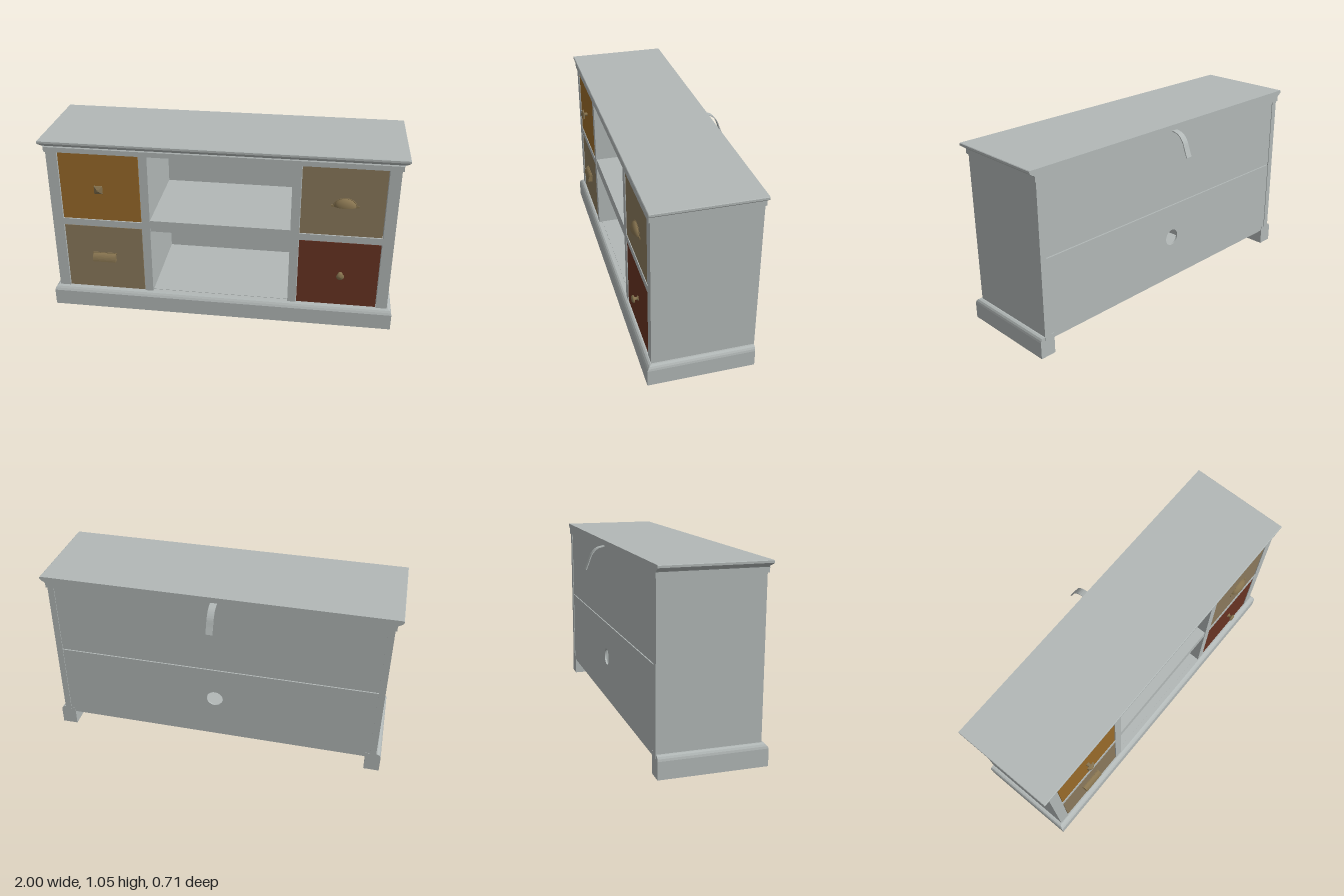
import * as THREE from 'three';

export function createModel() {
  const root = new THREE.Group();
  root.name = 'mediaCabinet';
  const mat = (name, color, side = THREE.FrontSide) => {
    const m = new THREE.MeshStandardMaterial({ color, side });
    m.name = name;
    return m;
  };
  const paint = mat('greyPaint', 0xb2b8b7);
  const orange = mat('ochrePaint', 0x986a29);
  const tan = mat('tanPaint', 0x8a795c);
  const red = mat('brickRedPaint', 0x683322);
  const metal = mat('agedBrass', 0x86734f, THREE.DoubleSide);

  const add = (name, geo, material = paint, parent = root) => {
    const m = new THREE.Mesh(geo, material);
    m.name = name;
    parent.add(m);
    return m;
  };
  // Box given by its minimum and maximum on each axis
  const box = (name, x0, x1, y0, y1, z0, z1, material = paint, parent = root) => {
    const g = new THREE.BoxGeometry(x1 - x0, y1 - y0, z1 - z0);
    g.translate((x0 + x1) / 2, (y0 + y1) / 2, (z0 + z1) / 2);
    return add(name, g, material, parent);
  };
  // Extrudes a [z, y] outline along x, centred on x = 0
  const extrudeX = (pts, width) => {
    const s = new THREE.Shape(pts.map(([z, y]) => new THREE.Vector2(z, y)));
    const g = new THREE.ExtrudeGeometry(s, { depth: width, bevelEnabled: false });
    return g.rotateY(-Math.PI / 2).translate(width / 2, 0, 0);
  };
  // Mitred moulding round the two sides and front; profile = [halfWidth, zFront, y]
  const moulding = (profile, zBack) => {
    const stations = [
      profile.map(([x, , y]) => [x, y, zBack]),
      profile.map(([x, z, y]) => [x, y, z]),
      profile.map(([x, z, y]) => [-x, y, z]),
      profile.map(([x, , y]) => [-x, y, zBack]),
    ];
    const pos = [];
    const tri = (a, b, c) => pos.push(...a, ...b, ...c);
    const n = profile.length;
    for (let i = 0; i < 3; i++) {
      for (let j = 0; j < n; j++) {
        const k = (j + 1) % n;
        const [a, b, c, d] = [stations[i][j], stations[i][k], stations[i + 1][k], stations[i + 1][j]];
        tri(a, b, c);
        tri(a, c, d);
      }
    }
    const outline = profile.map(([x, , y]) => new THREE.Vector2(x, y));
    for (const [a, b, c] of THREE.ShapeUtils.triangulateShape(outline, [])) {
      tri(stations[0][a], stations[0][c], stations[0][b]);
      tri(stations[3][a], stations[3][b], stations[3][c]);
    }
    const g = new THREE.BufferGeometry();
    g.setAttribute('position', new THREE.Float32BufferAttribute(pos, 3));
    g.computeVertexNormals();
    return g;
  };

  // Plinth, open underneath and at the back
  add('plinth', moulding([
    [0.9, 0.245, 0], [0.99, 0.348, 0], [0.99, 0.348, 0.095], [0.987, 0.342, 0.107],
    [0.981, 0.334, 0.117], [0.97, 0.325, 0.122], [0.9, 0.245, 0.122],
  ], -0.238));

  // Top with stepped crown moulding
  add('crownMoulding', moulding([
    [0.9, 0.26, 0.985], [0.97, 0.328, 0.985], [0.97, 0.328, 1.013], [0.975, 0.324, 1.019],
    [0.985, 0.328, 1.024], [0.995, 0.334, 1.031], [1, 0.336, 1.036], [1, 0.336, 1.047],
    [0.997, 0.333, 1.05], [0.9, 0.26, 1.05],
  ], -0.245));
  box('topBoard', -0.9, 0.9, 0.985, 1.05, -0.245, 0.26);

  // Carcass: sides, stiles, dividers and drawer rails
  for (const s of [-1, 1]) {
    const span = (name, a, b, ...rest) => box(name, Math.min(s * a, s * b), Math.max(s * a, s * b), ...rest);
    span('sidePanel', 0.925, 0.962, 0.1, 0.985, -0.24, 0.32);
    span('frontStile', 0.9, 0.925, 0.1, 0.985, 0.28, 0.32);
    span('divider', 0.395, 0.443, 0.122, 0.985, -0.226, 0.32);
    span('drawerRail', 0.443, 0.9, 0.535, 0.575, -0.226, 0.32);
  }
  box('floor', -0.925, 0.925, 0.09, 0.124, -0.232, 0.3);
  box('shelf', -0.395, 0.395, 0.523, 0.59, -0.226, 0.317);

  // Back panels, the lower one with a cable hole
  box('upperBackPanel', -0.925, 0.925, 0.567, 0.985, -0.236, -0.226);
  const back = new THREE.Shape();
  back.moveTo(-0.925, 0.1).lineTo(0.925, 0.1).lineTo(0.925, 0.561).lineTo(-0.925, 0.561).closePath();
  back.holes.push(new THREE.Path().absarc(0, 0.357, 0.048, 0, Math.PI * 2, true));
  add('lowerBackPanel',
    new THREE.ExtrudeGeometry(back, { depth: 0.01, bevelEnabled: false, curveSegments: 24 }).translate(0, 0, -0.236));

  // Drawers
  for (const [x, y, m] of [[-0.671, 0.781, orange], [-0.671, 0.329, tan], [0.671, 0.781, tan], [0.671, 0.329, red]]) {
    box('drawerFront', x - 0.225, x + 0.225, y - 0.203, y + 0.203, 0.295, 0.317, m);
  }

  const handle = (name, x, y) => {
    const g = new THREE.Group();
    g.name = name;
    g.position.set(x, y, 0.317);
    root.add(g);
    return g;
  };

  // Square knob with a pyramid face
  const square = handle('squareKnob', -0.672, 0.778);
  add('knobStem', new THREE.CylinderGeometry(0.009, 0.012, 0.022, 12).rotateX(Math.PI / 2).translate(0, 0, 0.011), metal, square);
  box('knobPlate', -0.023, 0.023, -0.023, 0.023, 0.02, 0.028, metal, square);
  const face = new THREE.CylinderGeometry(0.006, 0.0325, 0.011, 4, 1).toNonIndexed();
  face.computeVertexNormals();
  add('knobFace', face.rotateY(Math.PI / 4).rotateX(Math.PI / 2).translate(0, 0, 0.0335), metal, square);

  // Round knob
  const round = handle('roundKnob', 0.685, 0.33);
  const knob = [[0.014, 0], [0.014, 0.003], [0.008, 0.007], [0.008, 0.018], [0.02, 0.023], [0.022, 0.028], [0.016, 0.035], [0, 0.038]];
  add('knob', new THREE.LatheGeometry(knob.map(([r, h]) => new THREE.Vector2(r, h)), 20).rotateX(Math.PI / 2), metal, round);

  // Half-round cup pull, open below
  const cup = handle('cupPull', 0.682, 0.758);
  add('cup', new THREE.SphereGeometry(1, 20, 8, 0, Math.PI, 0, Math.PI / 2).scale(0.06, 0.046, 0.03), metal, cup);
  add('cupRim', new THREE.TorusGeometry(0.062, 0.003, 6, 20, Math.PI).scale(1, 0.77, 1), metal, cup);
  for (const s of [-1, 1]) box('cupEar', s * 0.066 - 0.009, s * 0.066 + 0.009, -0.004, 0.006, 0, 0.005, metal, cup);

  // Rectangular bin pull: quarter-round shell with closed ends
  const bin = handle('binPull', -0.672, 0.314);
  const arc = (rz, ry) => Array.from({ length: 9 }, (_, i) => {
    const a = (i / 8) * Math.PI / 2;
    return [Math.cos(a) * rz, Math.sin(a) * ry];
  });
  add('pullShell', extrudeX([...arc(0.029, 0.046), ...arc(0.025, 0.042).reverse()], 0.13), metal, bin);
  for (const s of [-1, 1]) {
    add('pullEnd', extrudeX([[0, 0], ...arc(0.029, 0.046)], 0.004).translate(s * 0.065, 0, 0), metal, bin);
  }
  box('pullFlange', -0.071, 0.071, 0.038, 0.049, 0, 0.004, metal, bin);

  // Wall strap hanging from the back of the top
  const curve = new THREE.SplineCurve([[-0.243, 1.016], [-0.288, 1.004], [-0.32, 0.97], [-0.338, 0.925], [-0.354, 0.885]]
    .map(([z, y]) => new THREE.Vector2(z, y)));
  const edge = (d) => curve.getPoints(16).map((p, i) => {
    const t = curve.getTangent(i / 16);
    return [p.x - t.y * d, p.y + t.x * d];
  });
  add('wallStrap', extrudeX([...edge(0.0025), ...edge(-0.0025).reverse()], 0.038));

  return root;
}
